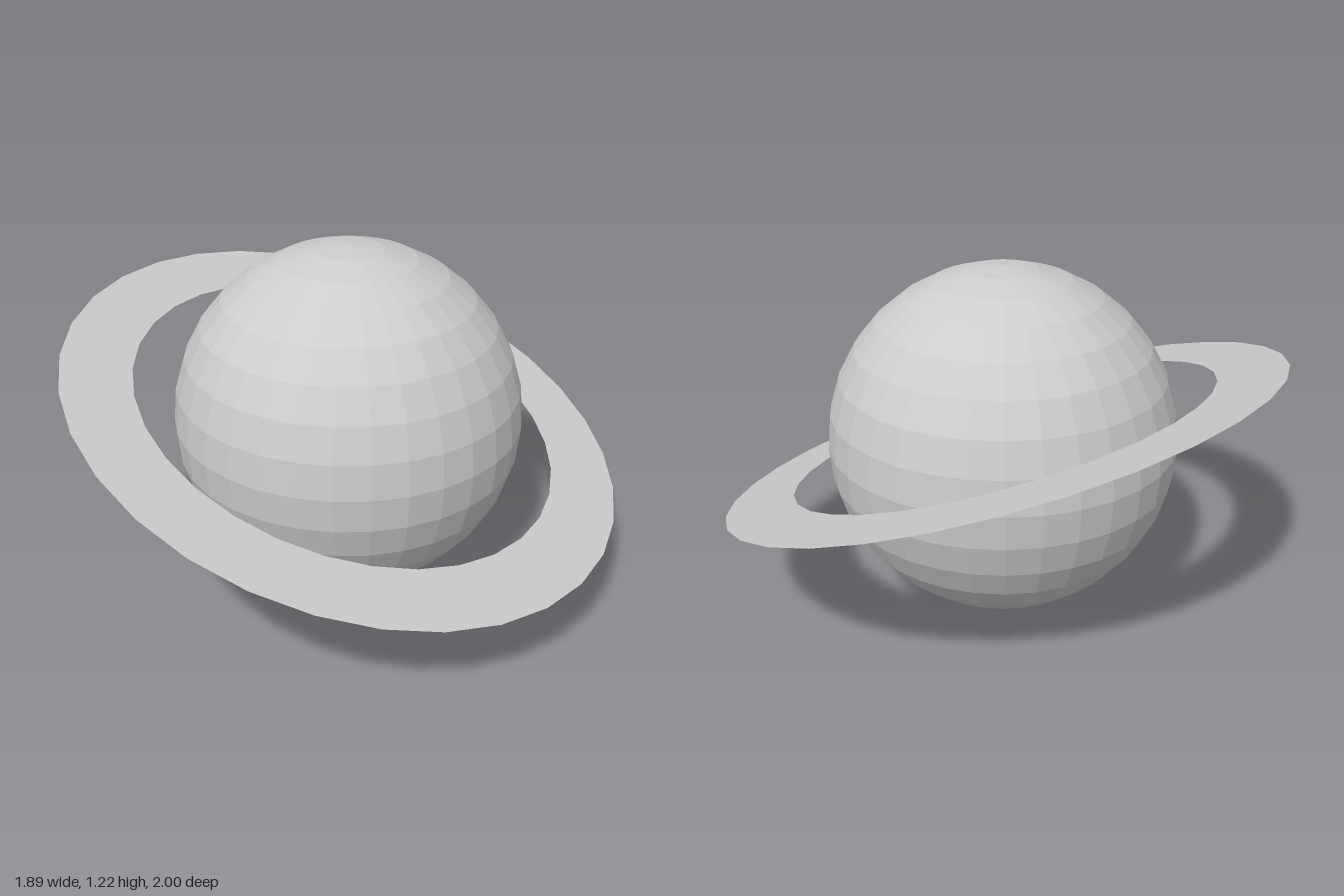
import * as THREE from 'three';

export function createModel() {
  const model = new THREE.Group();
  model.name = 'ringedPlanet';

  // Faceted globe
  const globe = new THREE.Mesh(
    new THREE.SphereGeometry(0.608, 32, 16),
    new THREE.MeshStandardMaterial({ color: 0xcccccc, flatShading: true })
  );
  globe.name = 'planet';
  globe.position.set(-0.007, 0.608, -0.009);
  model.add(globe);

  // Flat ring, tilted down towards +x
  const ring = new THREE.Mesh(
    new THREE.RingGeometry(0.76, 1, 32).rotateX(-Math.PI / 2),
    new THREE.MeshStandardMaterial({ color: 0xcccccc, flatShading: true, side: THREE.DoubleSide })
  );
  ring.name = 'ring';
  ring.position.y = 0.622;
  ring.rotation.set(0.01, 0, -0.335);
  model.add(ring);

  return model;
}
